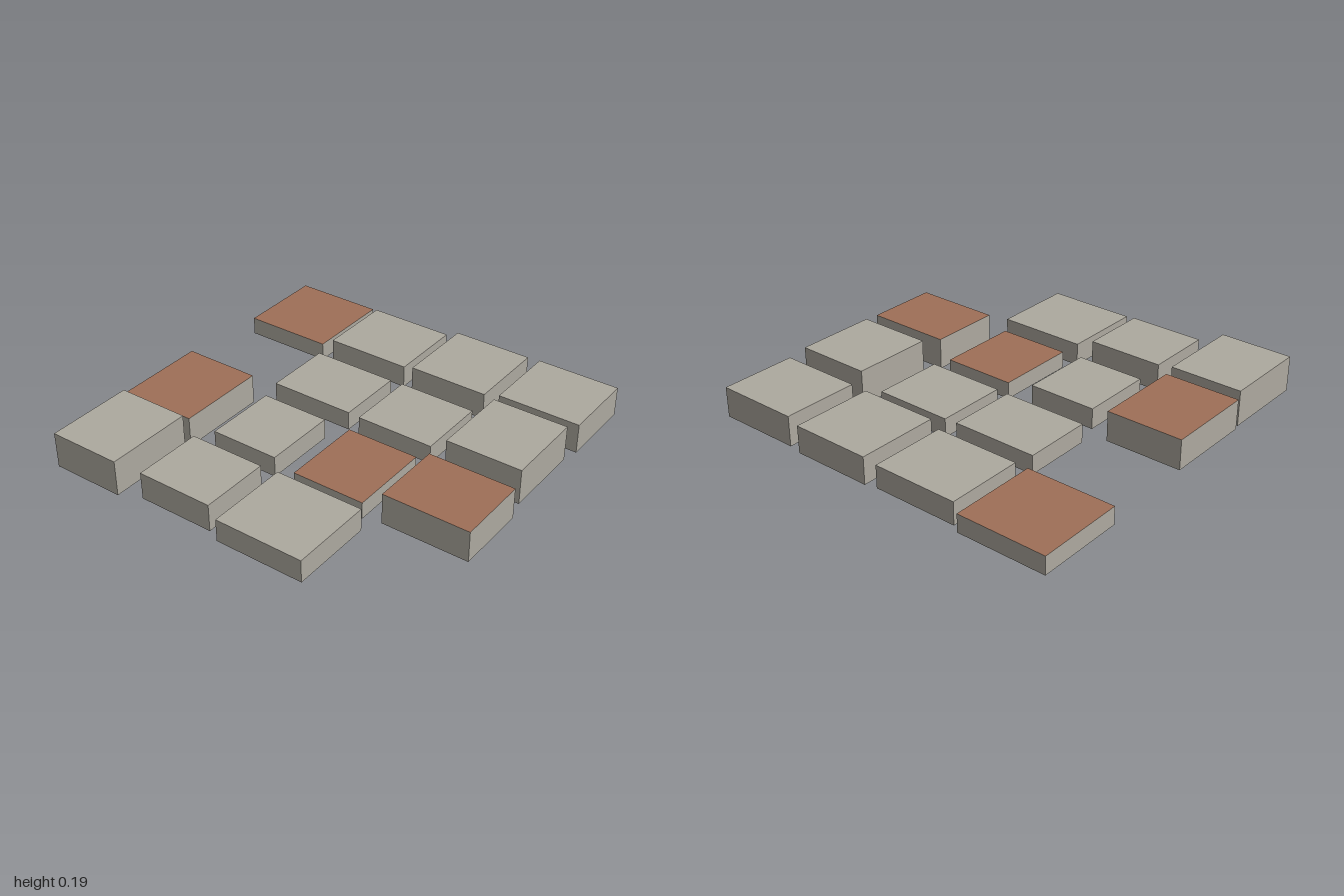
import * as THREE from 'three';

// Each block: [left x, right x, back z, front z, height, has clay top]
const BLOCKS = [
  [-1.0, -0.53, -0.96, -0.57, 0.19, false],
  [-0.5, -0.015, -0.97, -0.56, 0.16, true],
  [0.53, 1.0, -1.0, -0.525, 0.095, true],
  [-0.95, -0.58, -0.46, -0.05, 0.145, false],
  [-0.455, -0.06, -0.44, -0.07, 0.11, false],
  [0.07, 0.44, -0.48, -0.02, 0.1, false],
  [0.56, 0.97, -0.48, -0.02, 0.12, false],
  [-0.985, -0.545, 0.02, 0.495, 0.12, false],
  [-0.475, -0.035, 0.06, 0.45, 0.09, true],
  [0.065, 0.445, 0.045, 0.465, 0.1, false],
  [0.545, 0.985, 0.04, 0.47, 0.145, false],
  [-0.45, -0.065, 0.54, 1.0, 0.165, true],
  [0.04, 0.475, 0.565, 0.97, 0.19, false],
  [0.56, 0.97, 0.545, 0.99, 0.16, false],
];

// A box without its underside: four walls (material 0) and a top (material 1)
function openBox(w, h, d) {
  const geometry = new THREE.BoxGeometry(w, h, d);
  const index = Array.from(geometry.index.array);
  const top = index.slice(12, 18);
  const walls = [...index.slice(0, 12), ...index.slice(24, 36)];
  geometry.setIndex([...walls, ...top]);
  geometry.clearGroups();
  geometry.addGroup(0, 24, 0);
  geometry.addGroup(24, 6, 1);
  return geometry;
}

export function createModel() {
  const stone = new THREE.MeshStandardMaterial({ color: 0xaeaaa0, side: THREE.DoubleSide });
  stone.name = 'stone';
  const clay = new THREE.MeshStandardMaterial({ color: 0xa07058, side: THREE.DoubleSide });
  clay.name = 'clay';

  const model = new THREE.Group();
  model.name = 'cityBlocks';
  BLOCKS.forEach(([x0, x1, z0, z1, h, hasClayTop], i) => {
    const block = new THREE.Mesh(openBox(x1 - x0, h, z1 - z0), [stone, hasClayTop ? clay : stone]);
    block.name = `block${i + 1}`;
    block.position.set((x0 + x1) / 2, h / 2, (z0 + z1) / 2);
    model.add(block);
  });
  return model;
}
